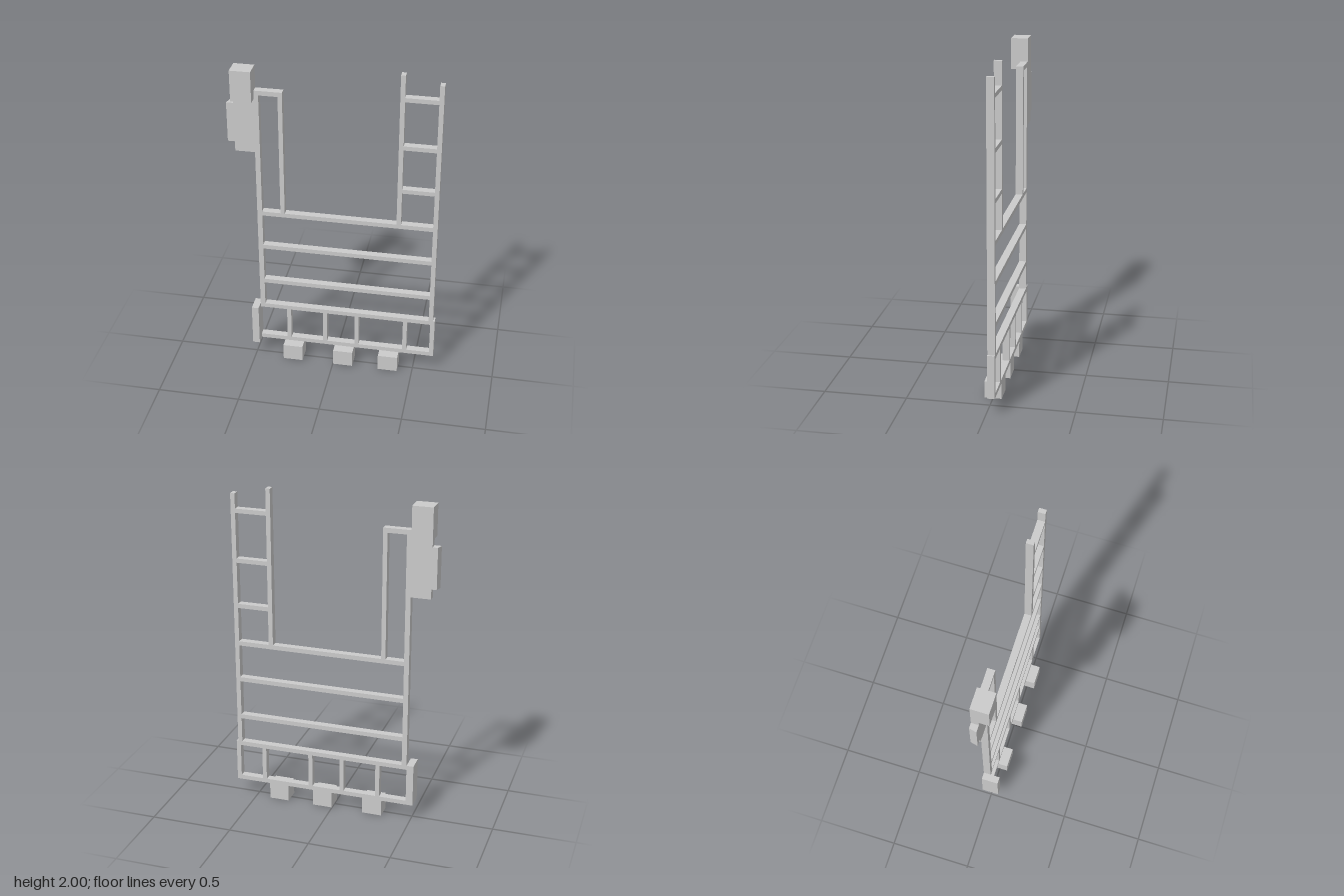
import * as THREE from 'three';

const BACK = -0.052, FACE = -0.008, FRONT = 0.052;

export function createModel() {
  const model = new THREE.Group();
  model.name = 'ladderFrame';
  const material = new THREE.MeshStandardMaterial({ color: 0xcccccc, flatShading: true });

  // Box given by its x and y limits; it starts at the back plane and ends at z1
  function bar(name, x0, x1, y0, y1, z1 = FACE) {
    const mesh = new THREE.Mesh(new THREE.BoxGeometry(x1 - x0, y1 - y0, z1 - BACK), material);
    mesh.position.set((x0 + x1) / 2, (y0 + y1) / 2, (BACK + z1) / 2);
    mesh.name = name;
    model.add(mesh);
  }

  // Tall uprights
  bar('leftUpright', 0.587, 0.614, 0.368, 1.955);
  bar('rightUpright', -0.47, -0.44, 0.368, 1.835);
  bar('ladderInnerUpright', 0.37, 0.397, 1.04, 2);
  bar('loopInnerUpright', -0.328, -0.302, 1.04, 1.807);
  bar('loopTopRail', -0.44, -0.302, 1.807, 1.835);

  // Long cross rails
  for (const y of [0.527, 0.777, 1.013]) bar('crossRail', -0.44, 0.587, y, y + 0.027);

  // Short ladder rungs
  for (const y of [1.254, 1.537, 1.839]) bar('ladderRung', 0.397, 0.587, y, y + 0.026);

  // Base frame with its dividers
  for (const y of [0.103, 0.341]) bar('baseRail', -0.47, 0.598, y, y + 0.027);
  for (const x of [-0.302, -0.074, 0.127, 0.429]) bar('baseDivider', x, x + 0.026, 0.13, 0.341);
  bar('baseLeftPost', 0.598, 0.625, 0.103, 0.368);
  bar('baseRightPost', -0.513, -0.47, 0.103, 0.368, FRONT);

  // Feet
  for (const x of [-0.317, 0.002, 0.286]) bar('foot', x, x + 0.122, 0, 0.103, FRONT);

  // Side plate with the block on top
  bar('sidePlate', -0.588, -0.47, 1.44, 1.785);
  bar('topBlock', -0.588, -0.466, 1.785, 1.975, FRONT);

  // Tab with a slanted outer end, drawn in plan and extruded upwards
  const plan = new THREE.Shape([
    new THREE.Vector2(-0.588, -FACE), new THREE.Vector2(-0.63, -FACE),
    new THREE.Vector2(-0.619, -BACK), new THREE.Vector2(-0.588, -BACK),
  ]);
  const tab = new THREE.Mesh(new THREE.ExtrudeGeometry(plan, { depth: 0.247, bevelEnabled: false }), material);
  tab.rotation.x = -Math.PI / 2;
  tab.position.y = 1.5;
  tab.name = 'sideTab';
  model.add(tab);

  return model;
}
